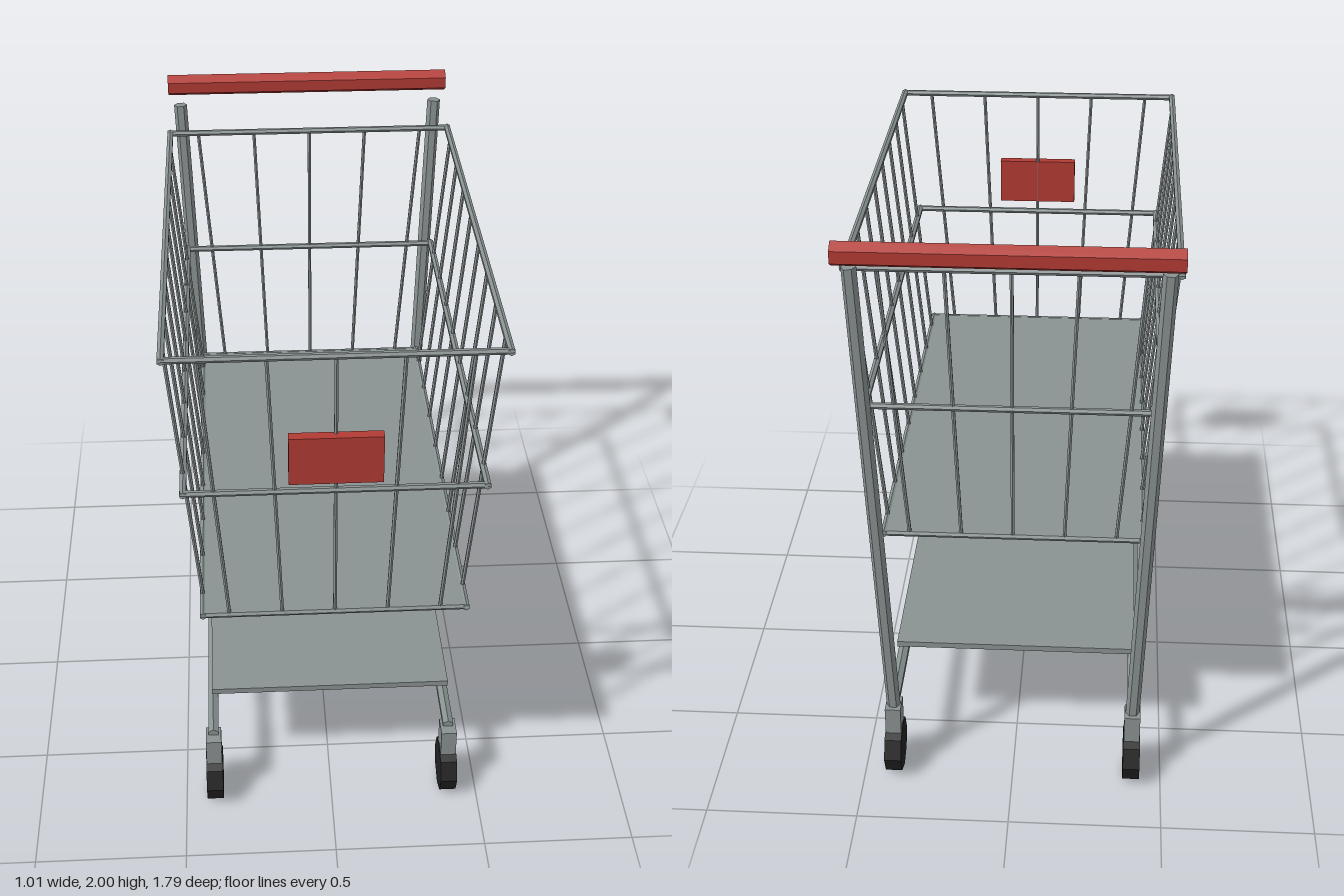
import * as THREE from 'three';

const steel = new THREE.MeshStandardMaterial({ color: 0x8a9292 });
steel.name = 'steel grey';
const red = new THREE.MeshStandardMaterial({ color: 0xb23a34 });
red.name = 'red plastic';
const rubber = new THREE.MeshStandardMaterial({ color: 0x222222 });
rubber.name = 'black rubber';

// Faceted geometry: every face gets its own normal
function faceted(geometry) {
  const g = geometry.toNonIndexed();
  g.computeVertexNormals();
  return g;
}

function addMesh(parent, name, geometry, material, x = 0, y = 0, z = 0) {
  const mesh = new THREE.Mesh(geometry, material);
  mesh.name = name;
  mesh.position.set(x, y, z);
  parent.add(mesh);
  return mesh;
}

// Straight low-poly bar between two points; spin turns its facets about its axis
function addBar(parent, name, from, to, radius, material = steel, spin = 0) {
  const a = new THREE.Vector3(...from);
  const b = new THREE.Vector3(...to);
  const dir = b.clone().sub(a);
  const g = new THREE.CylinderGeometry(radius, radius, dir.length(), 6);
  g.rotateY(spin);
  const bar = addMesh(parent, name, faceted(g), material);
  bar.position.copy(a).add(b).multiplyScalar(0.5);
  bar.quaternion.setFromUnitVectors(new THREE.Vector3(0, 1, 0), dir.normalize());
  return bar;
}

export function createModel() {
  const cart = new THREE.Group();
  cart.name = 'shoppingCart';

  // Basket: floor, three rail rings widening upwards, and upright wires
  const basket = new THREE.Group();
  basket.name = 'basket';
  cart.add(basket);
  const front = 0.865, back = -0.698, length = front - back;
  const bottomY = 0.922, topY = 1.845, bottomX = 0.41, topX = 0.495;

  addMesh(basket, 'basketFloor', new THREE.BoxGeometry(2 * bottomX, 0.016, length),
    steel, 0, bottomY, (front + back) / 2);

  for (const t of [0, 0.5, 1]) {
    const y = THREE.MathUtils.lerp(bottomY, topY, t);
    const x = THREE.MathUtils.lerp(bottomX, topX, t);
    for (const s of [-1, 1])
      addBar(basket, 'sideRail', [s * x, y, back - 0.009], [s * x, y, front + 0.009], 0.0115);
    for (const z of [front, back])
      addBar(basket, 'crossRail', [-x - 0.009, y, z], [x + 0.009, y, z], 0.0105);
  }

  for (let i = 0; i < 8; i++) {
    const z = back + (length * (i + 0.5)) / 8;
    for (const s of [-1, 1])
      addBar(basket, 'sideWire', [s * bottomX, bottomY, z], [s * topX, topY, z], 0.0065);
  }
  for (let i = 0; i < 5; i++) {
    const k = (i - 2) * 0.4;
    for (const z of [front, back])
      addBar(basket, 'endWire', [k * bottomX, bottomY, z], [k * topX, topY, z], 0.0065);
  }

  // Panel on the basket front
  addMesh(cart, 'frontPanel', new THREE.BoxGeometry(0.28, 0.16, 0.034), red, 0, 1.505, 0.876);

  // Push handle
  addBar(cart, 'handle', [-0.5, 1.962, -0.86], [0.5, 1.962, -0.86], 0.038, red, Math.PI / 6);

  // Lower shelf
  addMesh(cart, 'lowerShelf', new THREE.BoxGeometry(0.8, 0.02, 1.24), steel, 0, 0.403, 0.025);

  // Frame and casters, mirrored left and right
  const wheelGeometry = new THREE.CylinderGeometry(0.09, 0.09, 0.056, 8);
  wheelGeometry.rotateZ(Math.PI / 2);
  const wheelFlat = faceted(wheelGeometry);
  const forkGeometry = new THREE.BoxGeometry(0.052, 0.142, 0.074);
  for (const s of [-1, 1]) {
    addBar(cart, 'rearPost', [s * 0.4, 0.26, -0.737], [s * 0.458, 1.903, -0.819],
      0.023, steel, Math.PI / 6);
    addBar(cart, 'baseRail', [s * 0.4, 0.265, -0.737], [s * 0.4, 0.265, 0.705], 0.02);
    for (const z of [0.705, -0.735]) {
      addMesh(cart, 'casterFork', forkGeometry, steel, s * 0.4, 0.191, z);
      addMesh(cart, 'wheel', wheelFlat, rubber, s * 0.4, 0.09, z);
    }
  }
  return cart;
}
